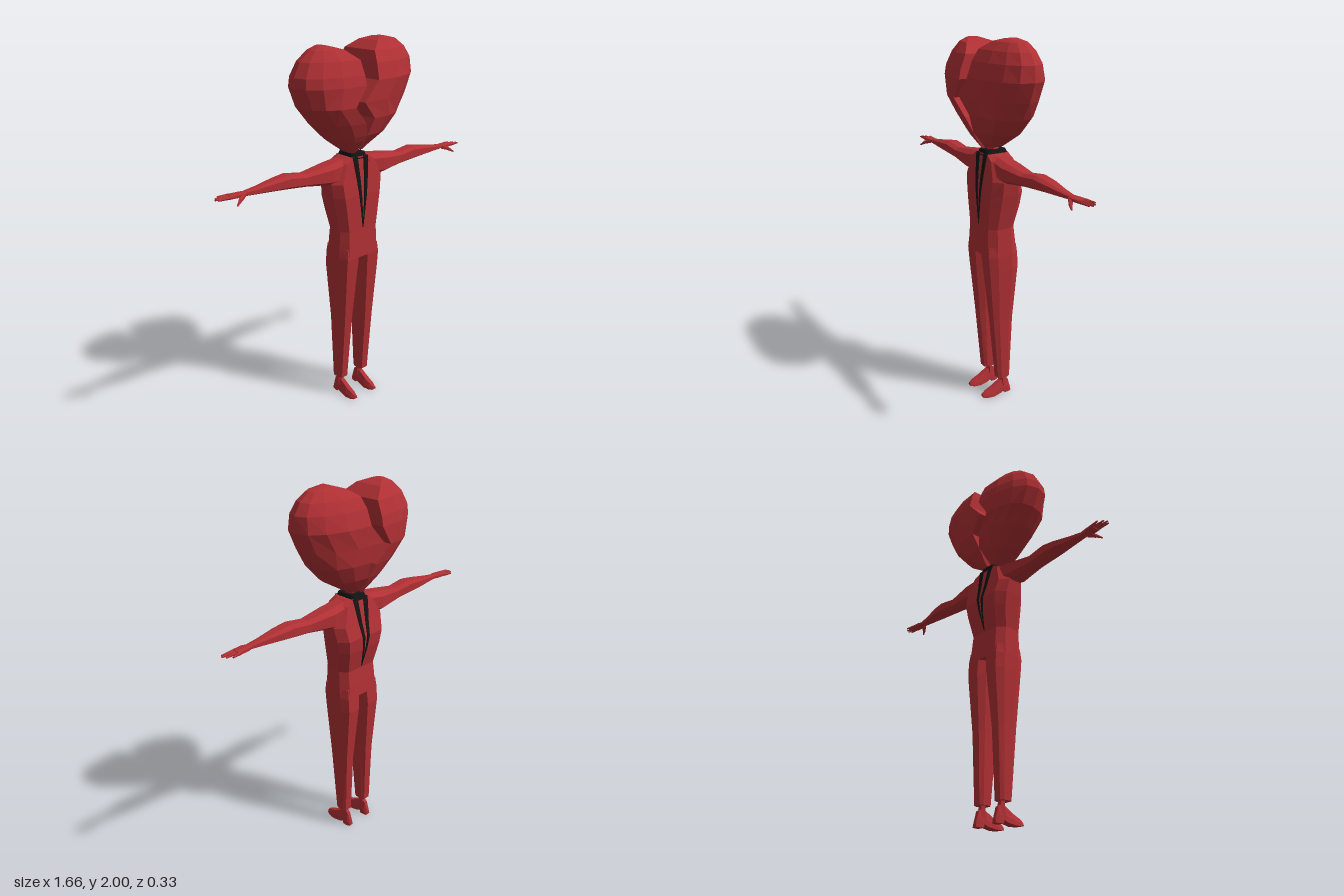
import * as THREE from 'three';

const red = new THREE.MeshStandardMaterial({ color: 0xb03034, flatShading: true });
const black = new THREE.MeshStandardMaterial({ color: 0x141414, flatShading: true });
const V = (x, y, z) => new THREE.Vector3(x, y, z);

// Skin a list of equal-length closed rings, cap both ends, face outwards
function loft(name, rings, material = red) {
  const n = rings[0].length, tris = [];
  for (let i = 0; i < rings.length - 1; i++) {
    for (let j = 0; j < n; j++) {
      const a = rings[i][j], b = rings[i][(j + 1) % n];
      const c = rings[i + 1][(j + 1) % n], d = rings[i + 1][j];
      tris.push([a, b, c], [a, c, d]);
    }
  }
  const first = rings[0], last = rings[rings.length - 1];
  for (let j = 1; j < n - 1; j++) {
    tris.push([first[0], first[j + 1], first[j]], [last[0], last[j], last[j + 1]]);
  }
  let volume = 0;
  for (const [a, b, c] of tris) volume += a.dot(V(0, 0, 0).crossVectors(b, c));
  const points = tris.flatMap(([a, b, c]) => (volume < 0 ? [a, c, b] : [a, b, c]));
  const geometry = new THREE.BufferGeometry().setFromPoints(points);
  geometry.computeVertexNormals();
  const mesh = new THREE.Mesh(geometry, material);
  mesh.name = name;
  return mesh;
}

// Chamfered rectangle: eight corners as [u, v] between the given limits
function octagon(u0, u1, v0, v1, ku = 0.75, kv = 0.5) {
  const cu = (u0 + u1) / 2, hu = (u1 - u0) / 2, cv = (v0 + v1) / 2, hv = (v1 - v0) / 2;
  return [[1, kv], [ku, 1], [-ku, 1], [-1, kv], [-1, -kv], [-ku, -1], [ku, -1], [1, -kv]]
    .map(([u, v]) => [cu + u * hu, cv + v * hv]);
}

// Tapered five-sided rod between two points
function rod(name, from, to, r0, r1) {
  const dir = to.clone().sub(from);
  const mesh = new THREE.Mesh(new THREE.CylinderGeometry(r1, r0, dir.length(), 5), red);
  mesh.position.copy(from).addScaledVector(dir, 0.5);
  mesh.quaternion.setFromUnitVectors(V(0, 1, 0), dir.normalize());
  mesh.name = name;
  return mesh;
}

// Torso levels: y, half width, front z, back z
const torso = [
  [1.412, 0.07, 0.063, -0.06], [1.385, 0.125, 0.068, -0.068], [1.285, 0.173, 0.08, -0.088],
  [1.21, 0.161, 0.086, -0.107], [1.14, 0.147, 0.087, -0.1], [1.02, 0.125, 0.086, -0.072],
  [0.95, 0.128, 0.089, -0.08], [0.865, 0.131, 0.091, -0.088],
];

// Front or back torso depth at a height
function depthAt(y, column) {
  for (let i = 0; i < torso.length - 1; i++) {
    const a = torso[i], b = torso[i + 1];
    if (y <= a[0] && y >= b[0]) {
      return THREE.MathUtils.mapLinear(y, a[0], b[0], a[column], b[column]);
    }
  }
  return torso[0][column];
}

// Half of the split heart: y, cut x, outer x, half depth
function heartHalf(name, levels) {
  const steps = 8;
  return loft(name, levels.map(([y, cut, outer, depth], i) => {
    const ring = [];
    for (let k = 0; k <= steps; k++) {
      const a = -Math.PI / 2 + (Math.PI * k) / steps;
      const c = Math.max(0, Math.cos(a)) ** 0.9, s = Math.sin(a);
      ring.push(V(cut + (outer - cut) * c, y, depth * Math.sign(s) * Math.abs(s) ** 0.9));
    }
    return ring;
  }));
}

function buildArm(side) {
  const arm = new THREE.Group();
  arm.name = side > 0 ? 'leftArm' : 'rightArm';
  const section = ([x, bottom, top, z0, z1]) =>
    octagon(bottom, top, z0, z1, 0.6, 0.5).map(([y, z]) => V(side * x, y, z));
  arm.add(loft('sleeve', [
    [0.05, 1.3, 1.41, -0.055, 0.055], [0.175, 1.285, 1.392, -0.065, 0.062],
    [0.325, 1.305, 1.37, -0.045, 0.043], [0.43, 1.315, 1.385, -0.049, 0.045],
    [0.5, 1.32, 1.376, -0.044, 0.04], [0.6, 1.325, 1.36, -0.027, 0.027],
    [0.68, 1.329, 1.35, -0.017, 0.018],
  ].map(section)));
  arm.add(loft('palm', [
    [0.66, 1.33, 1.35, -0.016, 0.016], [0.7, 1.328, 1.351, -0.026, 0.026],
    [0.755, 1.33, 1.349, -0.032, 0.022],
  ].map(section)));
  [[-0.026, -0.04, 0.795], [-0.012, -0.02, 0.818], [0.002, -0.002, 0.828], [0.015, 0.014, 0.82]]
    .forEach(([z0, z1, tip]) => arm.add(
      rod('finger', V(side * 0.745, 1.34, z0), V(side * tip, 1.339, z1), 0.009, 0.004)));
  arm.add(rod('thumb', V(side * 0.685, 1.337, 0.014), V(side * 0.718, 1.325, 0.038), 0.013, 0.01));
  arm.add(rod('thumbTip', V(side * 0.716, 1.326, 0.037), V(side * 0.745, 1.307, 0.052), 0.01, 0.004));
  return arm;
}

function buildLeg(side) {
  const leg = new THREE.Group();
  leg.name = side > 0 ? 'leftLeg' : 'rightLeg';
  // Trouser leg: y, inner x, outer x, back z, front z
  leg.add(loft('trouserLeg', [
    [0.92, 0.005, 0.127, -0.08, 0.086], [0.865, 0.01, 0.131, -0.088, 0.091],
    [0.785, 0.016, 0.129, -0.092, 0.084], [0.48, 0.037, 0.114, -0.065, 0.055],
    [0.11, 0.046, 0.107, -0.051, 0.022],
  ].map(([y, x0, x1, z0, z1]) =>
    octagon(x0, x1, z0, z1, 0.65, 0.5).map(([x, z]) => V(side * x, y, z)))));
  leg.add(rod('ankle', V(side * 0.072, 0.05, -0.022), V(side * 0.072, 0.13, -0.018), 0.022, 0.017));
  // Shoe: z, bottom, top, half width
  leg.add(loft('shoe', [
    [0.113, 0.006, 0.024, 0.013], [0.09, 0.002, 0.036, 0.023], [0.05, 0, 0.052, 0.027],
    [0, 0.008, 0.082, 0.023], [-0.02, 0.018, 0.095, 0.021], [-0.026, 0, 0.096, 0.021],
    [-0.05, 0, 0.08, 0.02], [-0.068, 0, 0.025, 0.014],
  ].map(([z, y0, y1, w]) => [[-1, y0], [1, y0], [0.9, y0 + (y1 - y0) * 0.4], [0.5, y1],
    [-0.5, y1], [-0.9, y0 + (y1 - y0) * 0.4]].map(([x, y]) => V(side * 0.072 + x * w, y, z)))));
  return leg;
}

export function createModel() {
  const model = new THREE.Group();
  model.name = 'heartHeadedFigure';

  // Broken heart head
  model.add(heartHalf('rightHeartHalf', [
    [1.43, -0.025, -0.045, 0.05], [1.5, -0.01, -0.15, 0.1], [1.53, 0, -0.185, 0.118],
    [1.6, -0.03, -0.255, 0.145], [1.69, -0.115, -0.325, 0.163], [1.79, -0.05, -0.37, 0.166],
    [1.84, -0.052, -0.365, 0.155], [1.91, -0.055, -0.328, 0.125], [1.96, -0.12, -0.27, 0.08],
    [1.98, -0.185, -0.225, 0.03],
  ]));
  model.add(heartHalf('leftHeartHalf', [
    [1.445, 0.01, 0.05, 0.055], [1.53, 0, 0.195, 0.117], [1.62, 0.02, 0.277, 0.15],
    [1.71, -0.06, 0.333, 0.167], [1.81, 0.03, 0.375, 0.166], [1.89, 0.038, 0.37, 0.142],
    [1.945, 0.05, 0.335, 0.112], [1.985, 0.11, 0.28, 0.07], [2, 0.16, 0.21, 0.03],
  ]));

  // Neck and dark collar
  model.add(rod('neck', V(0, 1.4, 0), V(0, 1.48, 0), 0.035, 0.03));
  model.add(loft('collar', [[1.4, 0.056, 0.066], [1.43, 0.045, 0.056]].map(([y, x, z]) =>
    octagon(-x, x, -z, z, 0.8, 0.8).map(([px, pz]) => V(px, y, pz))), black));

  // Jacket body
  model.add(loft('torso', torso.map(([y, x, zf, zb]) =>
    octagon(-x, x, zb, zf).map(([px, pz]) => V(px, y, pz)))));

  for (const side of [1, -1]) {
    model.add(buildArm(side), buildLeg(side));
    // Dark lapels, front and back: y, inner x, outer x
    for (const column of [2, 3]) {
      model.add(loft('lapel', [
        [1.412, 0.02, 0.052], [1.385, 0.019, 0.049], [1.285, 0.013, 0.035],
        [1.21, 0.009, 0.025], [1.14, 0.005, 0.015], [1.03, 0, 0.001],
      ].map(([y, x0, x1]) => {
        const z = depthAt(y, column), t = 0.004;
        return [V(side * x0, y, z - t), V(side * x1, y, z - t),
          V(side * x1, y, z + t), V(side * x0, y, z + t)];
      }), black));
    }
  }
  return model;
}
